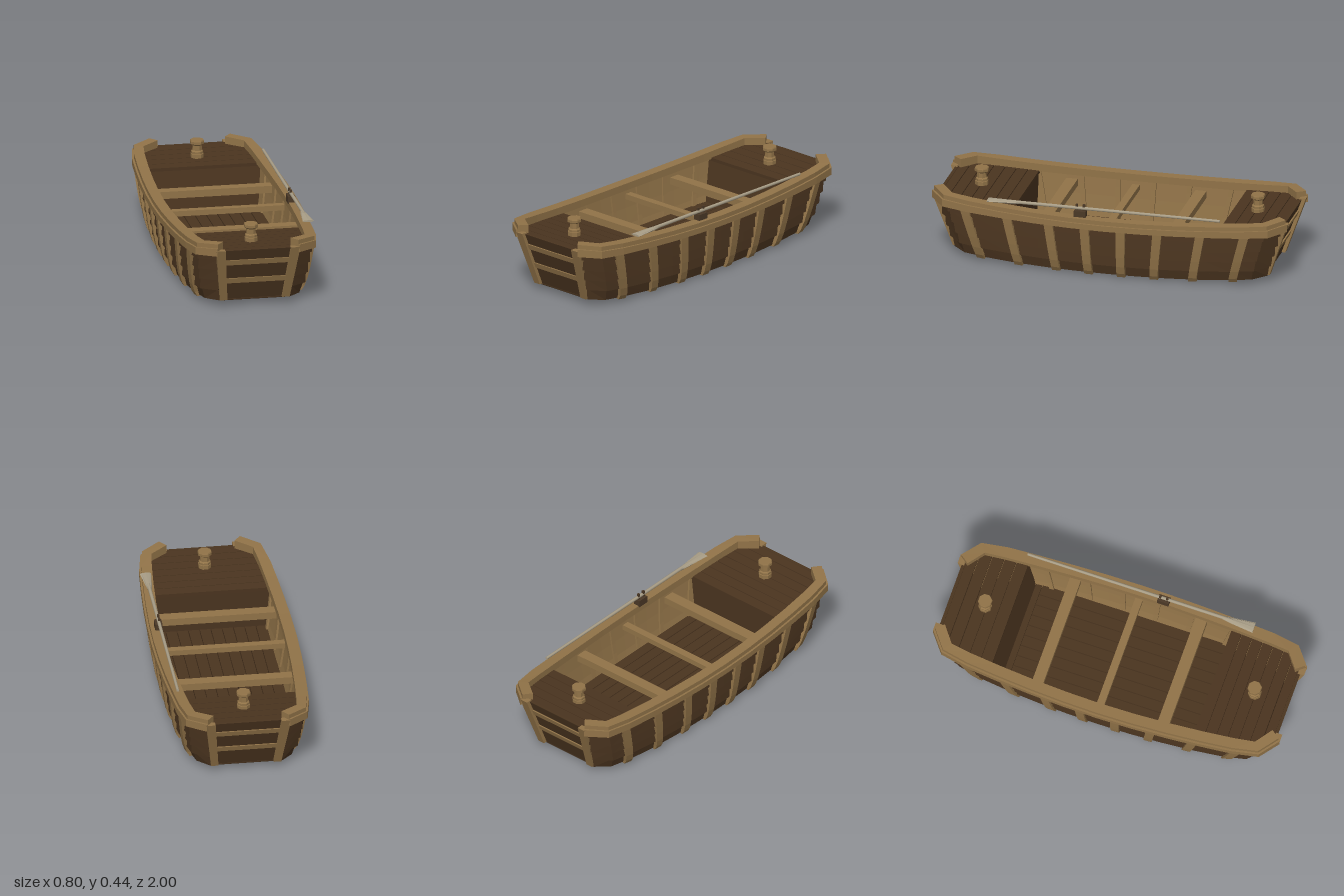
import * as THREE from 'three';

const lerp = THREE.MathUtils.lerp;
const mat = (name, color) => {
  const m = new THREE.MeshStandardMaterial({ color });
  m.name = name;
  return m;
};

// Half-widths along the hull: position towards an end, at the keel, at the rail
const US = [0, 0.2, 0.4, 0.6, 0.78, 0.92, 1];
const KEEL = [0.31, 0.309, 0.303, 0.292, 0.274, 0.25, 0.185];
const RAIL = [0.372, 0.369, 0.361, 0.349, 0.335, 0.313, 0.213];
const STATIONS = [...US.slice(1).map(u => -u).reverse(), ...US];

function along(table, u) {
  const a = Math.min(Math.abs(u), 1);
  let i = 0;
  while (i < US.length - 2 && a > US[i + 1]) i++;
  return lerp(table[i], table[i + 1], (a - US[i]) / (US[i + 1] - US[i]));
}
const sheer = u => 0.34 + (u > 0 ? 0.05 : 0.043) * u * u;

// Point on the hull: u runs stern to bow, t keel to rail, off pushes outwards
function hull(u, t, off = 0, dy = 0) {
  const at = v => [lerp(along(KEEL, v), along(RAIL, v), Math.pow(t, 0.45)), v * lerp(0.87, 0.977, t)];
  const [x, z] = at(u);
  const a = at(Math.max(-1, u - 0.01)), b = at(Math.min(1, u + 0.01));
  const dx = b[0] - a[0], dz = b[1] - a[1], l = Math.hypot(dx, dz);
  const y = lerp(0.012 + 0.026 * u * u, sheer(u) - 0.03, t);
  return [x + off * dz / l, y + dy, z - off * dx / l];
}

// Solid skinned over rings of equal length, flat shaded, turned outwards
function loft(rings) {
  const n = rings[0].length, tris = [];
  for (let i = 0; i + 1 < rings.length; i++) {
    for (let j = 0; j < n; j++) {
      const k = (j + 1) % n, A = rings[i], B = rings[i + 1];
      tris.push([A[j], A[k], B[k]], [A[j], B[k], B[j]]);
    }
  }
  const first = rings[0], last = rings[rings.length - 1];
  for (let j = 1; j + 1 < n; j++) {
    tris.push([first[0], first[j + 1], first[j]], [last[0], last[j], last[j + 1]]);
  }
  const v = p => new THREE.Vector3(...p);
  let volume = 0;
  for (const [a, b, c] of tris) volume += v(a).dot(v(b).cross(v(c)));
  const pos = tris.flatMap(t => (volume < 0 ? [t[0], t[2], t[1]] : t)).flat();
  const g = new THREE.BufferGeometry();
  g.setAttribute('position', new THREE.Float32BufferAttribute(pos, 3));
  g.computeVertexNormals();
  return g;
}
const flip = (rings, s) => rings.map(r => r.map(([x, y, z]) => [x * s, y, z]));
// Rectangle in x and y at one z, or in x and z at one y
const rectXY = (x0, x1, y0, y1, z) => [[x0, y0, z], [x1, y0, z], [x1, y1, z], [x0, y1, z]];
const rectXZ = (x0, x1, y, z0, z1) => [[x0, y, z0], [x1, y, z0], [x1, y, z1], [x0, y, z1]];

export function createModel() {
  const boat = new THREE.Group();
  boat.name = 'rowingBoat';
  const darkWood = mat('darkWood', 0x4a341f);
  const lightWood = mat('lightWood', 0x917348);
  const greyWood = mat('greyWood', 0xa89d86);
  const lockWood = mat('lockWood', 0x4a3826);

  const add = (name, geometry, material, x = 0, y = 0, z = 0) => {
    const m = new THREE.Mesh(geometry, material);
    m.name = name;
    m.position.set(x, y, z);
    boat.add(m);
    return m;
  };
  const box = (name, w, h, d, material, x, y, z) =>
    add(name, new THREE.BoxGeometry(w, h, d), material, x, y, z);

  // Rockered bottom with two runners following it
  add('bottom', loft(STATIONS.map(u => {
    const [x, y, z] = hull(u, 0);
    return rectXY(-x, x, y - 0.002, y + 0.015, z);
  })), darkWood);
  for (const s of [1, -1]) {
    add('runner', loft([-0.8, -0.6, -0.4, -0.2, 0, 0.2, 0.4, 0.6, 0.8].map(u => {
      const [, y, z] = hull(u, 0);
      return rectXY(0.118 * s, 0.158 * s, y - 0.012, y, z);
    })), lightWood);
  }

  const ribUs = [0.105, 0.315, 0.56, 0.81].flatMap(u => [u, -u]);
  const ribTs = [0, 0.05, 0.2, 0.4, 0.6, 0.8, 1];
  for (const s of [1, -1]) {
    // Overlapping side planks
    for (let i = 0; i < 5; i++) {
      const t0 = i / 5, t1 = (i + 1) / 5;
      add('sidePlank', loft(flip(STATIONS.map(u => [
        hull(u, t0, 0.014, -0.003), hull(u, t1, 0.001), hull(u, t1, -0.006), hull(u, t0, -0.006),
      ]), s)), darkWood);
    }
    // Inner lining
    add('lining', loft(flip(STATIONS.map(u => [
      ...[0.1, 0.3, 0.6, 1].map(t => hull(u, t, -0.005)),
      ...[1, 0.6, 0.3, 0.1].map(t => hull(u, t, -0.013)),
    ]), s)), lightWood);
    // Outer and inner ribs
    for (const u of ribUs) {
      const rib = (hw, o0, o1, ts) => loft(flip(ts.map(t => {
        const dy = t === 0 ? -0.01 : 0;
        return [hull(u - hw, t, o0, dy), hull(u + hw, t, o0, dy), hull(u + hw, t, o1, dy), hull(u - hw, t, o1, dy)];
      }), s));
      add('outerRib', rib(0.026, 0, 0.025, ribTs), lightWood);
      add('innerRib', rib(0.014, -0.024, -0.01, ribTs.slice(2)), lightWood);
    }
    // Rail cap and the rubbing strake stepped out below it
    const strip = (name, inner, outer, top, low) => add(name, loft(flip(STATIONS.map(u => {
      const drop = sheer(u) - hull(u, 1)[1], bottom = low + 0.012 * u * u;
      return [hull(u, 1, inner, drop - bottom), hull(u, 1, outer, drop - bottom),
        hull(u, 1, outer, drop - top), hull(u, 1, inner, drop - top)];
    }), s)), lightWood);
    strip('railCap', -0.042, 0.016, 0, 0.04);
    strip('rubbingStrake', -0.005, 0.027, 0.024, 0.055);
  }

  for (const e of [1, -1]) {
    // Sloping end wall with cross bars and corner posts
    const zAt = y => 0.865 + (y - 0.04) * 0.345;
    const slab = (y0, y1, x0, x1, o0, o1) => loft([y0, y1].map((y, i) =>
      rectXZ(x0[i], x1[i], y, e * (zAt(y) + o0), e * (zAt(y) + o1))));
    add('endWall', slab(0.03, 0.345, [-0.18, -0.2], [0.18, 0.2], -0.012, 0.005), darkWood);
    for (const y of [0.14, 0.255]) {
      add('endBar', slab(y, y + 0.03, [-0.185, -0.19], [0.185, 0.19], 0, 0.014), lightWood);
    }
    for (const s of [1, -1]) {
      add('endPost', slab(0.038, 0.352, [0.152 * s, 0.182 * s], [0.193 * s, 0.233 * s], -0.01, 0.026), lightWood);
    }

    // End deck of crosswise planks
    const zIn = e > 0 ? 0.535 : 0.635, zOut = 0.97, count = e > 0 ? 7 : 5;
    const deckY = z => 0.315 + 0.028 * (z - 0.53) / 0.44;
    const deckX = z => along(RAIL, z / 0.977) - 0.018;
    for (let i = 0; i < count; i++) {
      const z0 = lerp(zIn, zOut, i / count), z1 = lerp(zIn, zOut, (i + 1) / count) - 0.004;
      add('deckPlank', loft([z0, z1].map(z =>
        rectXY(-deckX(z), deckX(z), deckY(z) - 0.018, deckY(z), e * z))), darkWood);
    }
    // Bulkhead below the deck edge
    const zTop = zIn + 0.005, zLow = e > 0 ? 0.545 : 0.58;
    add('bulkhead', loft([
      rectXZ(-0.3, 0.3, 0.03, e * zLow, e * (zLow + 0.015)),
      rectXZ(-0.325, 0.325, 0.31, e * zTop, e * (zTop + 0.015)),
    ]), darkWood);

    // Eight-sided mooring post
    const profile = [[0, 0], [0.037, 0], [0.037, 0.022], [0.034, 0.024], [0.034, 0.036], [0.027, 0.042],
      [0.026, 0.07], [0.034, 0.076], [0.04, 0.08], [0.04, 0.094], [0.037, 0.1], [0, 0.1]];
    const post = new THREE.LatheGeometry(profile.map(p => new THREE.Vector2(...p)), 8, Math.PI / 8).toNonIndexed();
    post.computeVertexNormals();
    add('mooringPost', post, lightWood, 0, e > 0 ? 0.335 : 0.329, 0.777 * e);
  }

  // Floor boards with a cross board at the stern end
  for (let i = 0; i < 10; i++) {
    box('floorBoard', 0.057, 0.016, 1.085, darkWood, -0.279 + i * 0.062, 0.072, -0.0075);
  }
  box('floorCrossBoard', 0.62, 0.016, 0.034, darkWood, 0, 0.072, -0.57);
  // Benches
  for (const [z, d, h] of [[-0.37, 0.062, 0.04], [-0.005, 0.042, 0.03], [0.355, 0.065, 0.04]]) {
    box('bench', 0.665, h, d, lightWood, 0, 0.28 - h / 2, z);
  }

  // Oar resting along the left rail
  const shaft = new THREE.CylinderGeometry(0.01, 0.008, 1.18, 8).rotateX(Math.PI / 2);
  add('oarShaft', shaft, greyWood, 0.343, 0.388, -0.06);
  const bladeRings = [[0.47, 0.009, 0.009], [0.52, 0.017, 0.01], [0.655, 0.031, 0.006]].map(([z, w, h]) =>
    Array.from({ length: 8 }, (_, i) => {
      const a = i * Math.PI / 4;
      return [0.342 + w * Math.cos(a), 0.386 + h * Math.sin(a), z];
    }));
  add('oarBlade', loft(bladeRings), greyWood);
  // Oarlock
  box('oarlockBlock', 0.04, 0.04, 0.066, lockWood, 0.343, 0.355, 0.135);
  for (const dz of [-0.02, 0.02]) box('oarlockPin', 0.012, 0.04, 0.012, lockWood, 0.341, 0.39, 0.135 + dz);

  return boat;
}
